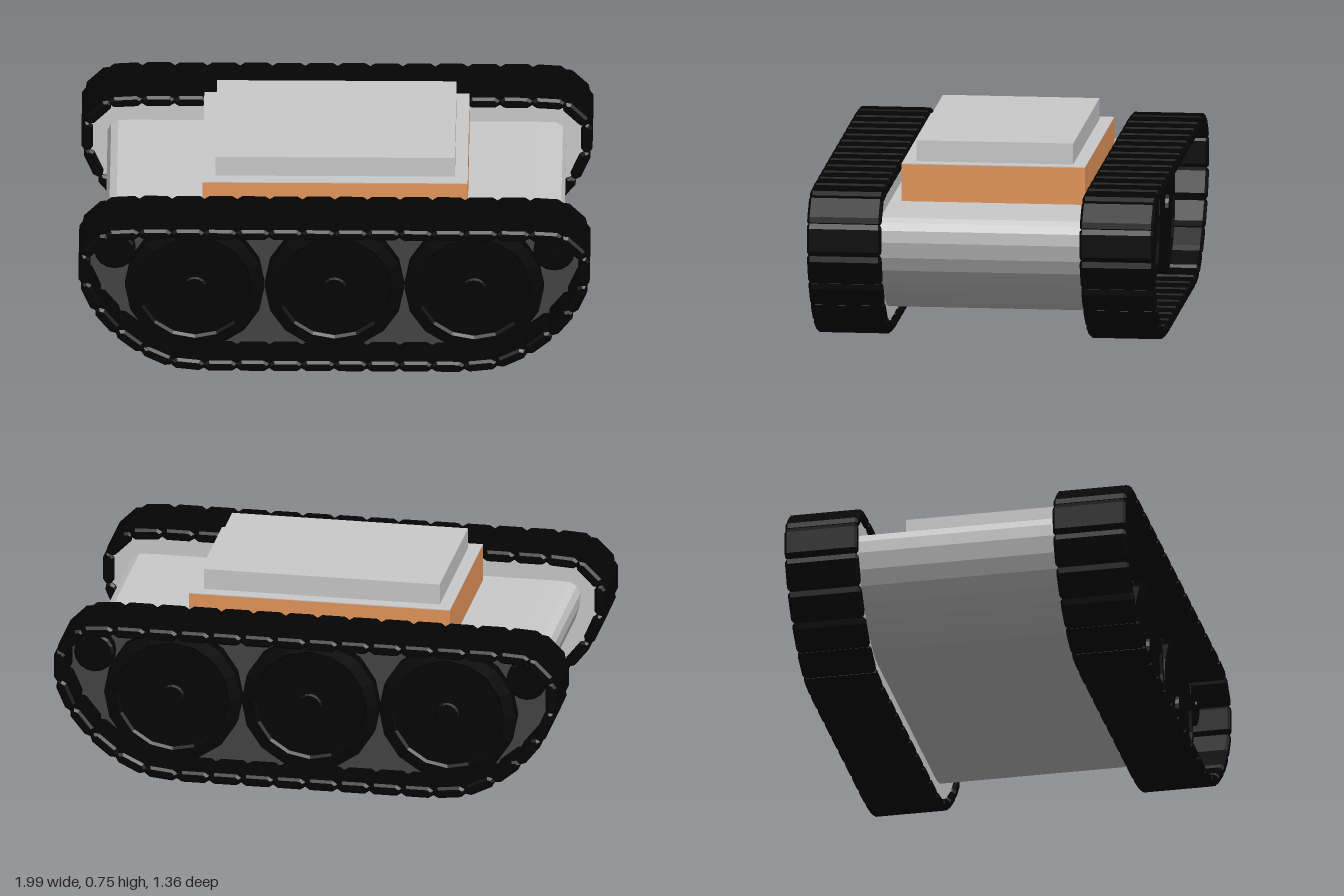
import * as THREE from 'three';

const mat = (color) => new THREE.MeshStandardMaterial({ color, flatShading: true });
const grey = mat(0xcccccc), dark = mat(0x444444), black = mat(0x040404), orange = mat(0xe8985c);

function add(parent, name, geometry, material, x = 0, y = 0, z = 0) {
  const mesh = new THREE.Mesh(geometry, material);
  mesh.name = name;
  mesh.position.set(x, y, z);
  parent.add(mesh);
  return mesh;
}

// Centre line of the belt around one end, from the ground up to the top run
const endCurve = new THREE.SplineCurve([
  [0.5, 0.024], [0.57, 0.025], [0.65, 0.043], [0.74, 0.089], [0.815, 0.145], [0.886, 0.22],
  [0.943, 0.305], [0.976, 0.395], [0.984, 0.465], [0.966, 0.535], [0.92, 0.585], [0.86, 0.607], [0.79, 0.608],
].map((p) => new THREE.Vector2(...p)));

// Closed loop, moved inward by an inset and mirrored in x, starting at the bottom middle
function beltOutline(inset, steps) {
  const half = [];
  for (let i = 0; i <= steps; i++) {
    const p = endCurve.getPointAt(i / steps), t = endCurve.getTangentAt(i / steps);
    half.push(new THREE.Vector2(p.x - t.y * inset, p.y + t.x * inset));
  }
  const mirrored = half.map((p) => new THREE.Vector2(-p.x, p.y)).reverse();
  return [new THREE.Vector2(0, half[0].y), ...half, ...mirrored];
}

function slab(points, z0, z1) {
  const geometry = new THREE.ExtrudeGeometry(new THREE.Shape(points), { depth: z1 - z0, bevelEnabled: false });
  return geometry.translate(0, 0, z0);
}

// Chamfered track shoe, long in z
function shoeGeometry(length, thickness, width) {
  const b = 0.01, c = 0.012, x = length / 2 - b, y = thickness / 2 - b;
  const shape = new THREE.Shape([
    [-x + c, -y], [x - c, -y], [x, -y / 3], [x, y / 3],
    [x - c, y], [-x + c, y], [-x, y / 3], [-x, -y / 3],
  ].map((p) => new THREE.Vector2(...p)));
  const geometry = new THREE.ExtrudeGeometry(shape, {
    depth: width - 2 * b, bevelSize: b, bevelThickness: b, bevelSegments: 1,
  });
  return geometry.translate(0, 0, -width / 2 + b);
}

// Wheel turned about z from [radius, depth] pairs, outer face toward +z
function wheelGeometry(profile, sides) {
  const points = profile.map((p) => new THREE.Vector2(...p));
  return new THREE.LatheGeometry(points, sides).rotateX(Math.PI / 2);
}

function createTrack() {
  const track = new THREE.Group();

  // Side plates filling the loop
  const plate = beltOutline(0.012, 24);
  add(track, 'innerSidePlate', slab(plate, 0.405, 0.46), grey);
  add(track, 'outerSidePlate', slab(plate, 0.46, 0.515), dark);

  // Shoes spaced evenly along the belt, touching end to end
  const count = 36;
  const path = new THREE.Path(beltOutline(0, 40));
  path.closePath();
  const stops = path.getSpacedPoints(count);
  const shoe = shoeGeometry(path.getLength() / count * 1.005, 0.045, 0.29);
  for (let i = 0; i < count; i++) {
    const a = stops[i], b = stops[i + 1];
    const mesh = add(track, 'trackShoe', shoe, black, (a.x + b.x) / 2, (a.y + b.y) / 2, 0.535);
    mesh.rotation.z = Math.atan2(b.y - a.y, b.x - a.x);
  }

  // Road wheels with shallow dished faces and hubs
  const road = wheelGeometry([
    [0.272, 0], [0.272, 0.06], [0.225, 0.066], [0.215, 0.056], [0.052, 0.056],
    [0.05, 0.07], [0.042, 0.073], [0, 0.073],
  ], 16);
  for (const x of [-0.545, 0, 0.545]) add(track, 'roadWheel', road, black, x, 0.317, 0.505);

  // Small end wheels
  const idler = wheelGeometry([
    [0.08, 0], [0.08, 0.055], [0.07, 0.06], [0.016, 0.06], [0.014, 0.068], [0, 0.068],
  ], 16);
  for (const x of [-0.857, 0.857]) add(track, 'endWheel', idler, black, x, 0.475, 0.505);
  return track;
}

export function createModel() {
  const model = new THREE.Group();
  model.name = 'trackedVehicle';

  // Hull between the tracks, following the belt shape
  add(model, 'hull', slab(beltOutline(0.087, 12), -0.42, 0.42), grey);

  // Raised deck and its lid
  add(model, 'deckSides', new THREE.BoxGeometry(1.035, 0.148, 0.72), orange, 0, 0.594);
  add(model, 'deckTop', new THREE.BoxGeometry(1.035, 0.003, 0.72), grey, 0, 0.6695);
  add(model, 'lid', new THREE.BoxGeometry(0.935, 0.084, 0.615), grey, 0, 0.712);

  // Matching tracks on both sides
  const frontTrack = createTrack();
  frontTrack.name = 'frontTrack';
  const backTrack = createTrack();
  backTrack.name = 'backTrack';
  backTrack.rotation.y = Math.PI;
  model.add(frontTrack, backTrack);
  return model;
}
